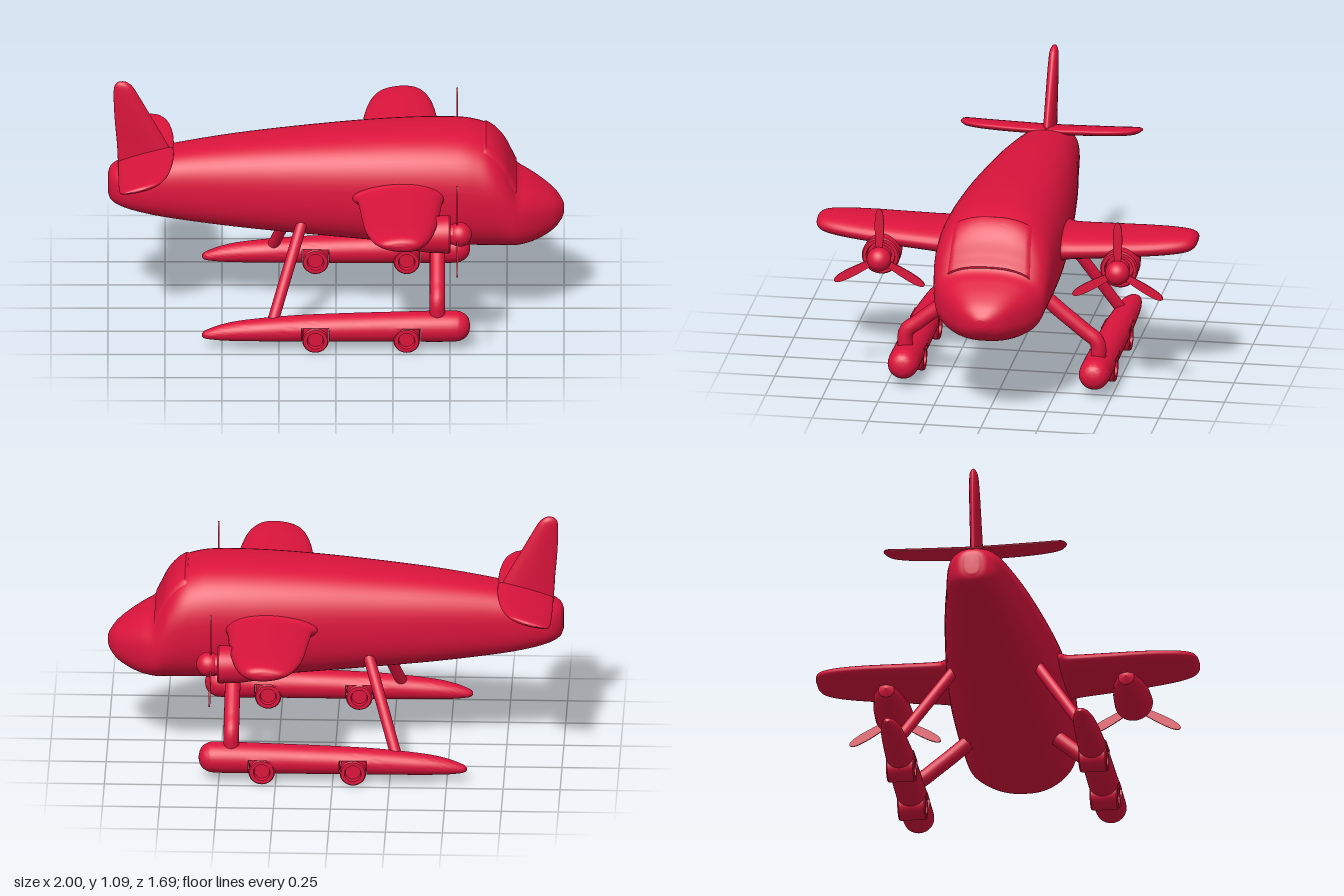
import * as THREE from 'three';
import { toCreasedNormals } from 'three/addons/utils/BufferGeometryUtils.js';

const red = new THREE.MeshStandardMaterial({ color: 0xdc143c });
const TAU = Math.PI * 2;

function part(parent, name, geo, crease = 0) {
  const mesh = new THREE.Mesh(crease ? toCreasedNormals(geo, crease) : geo, red);
  mesh.name = name;
  parent.add(mesh);
  return mesh;
}

// Skin closed rings of points and cap both ends; always wound outwards.
function loft(rings) {
  const n = rings[0].length, pos = [], idx = [];
  rings.forEach(r => r.forEach(p => pos.push(p.x, p.y, p.z)));
  for (let i = 0; i < rings.length - 1; i++) for (let j = 0; j < n; j++) {
    const a = i * n + j, b = i * n + (j + 1) % n;
    idx.push(a, b, a + n, b, b + n, a + n);
  }
  [0, rings.length - 1].forEach((r, end) => {
    const c = pos.length / 3, m = new THREE.Vector3();
    rings[r].forEach(p => m.addScaledVector(p, 1 / n));
    pos.push(m.x, m.y, m.z);
    for (let j = 0; j < n; j++) {
      const a = r * n + j, b = r * n + (j + 1) % n;
      if (end) idx.push(a, b, c); else idx.push(b, a, c);
    }
  });
  let volume = 0;
  const v = k => new THREE.Vector3().fromArray(pos, idx[k] * 3);
  for (let k = 0; k < idx.length; k += 3) volume += v(k).dot(v(k + 1).cross(v(k + 2)));
  if (volume < 0) idx.reverse();
  const g = new THREE.BufferGeometry();
  g.setAttribute('position', new THREE.Float32BufferAttribute(pos, 3));
  g.setIndex(idx);
  g.computeVertexNormals();
  return g;
}

// Smooth interpolation through rows of numbers.
function spline(rows) {
  const curves = rows[0].map((_, c) =>
    new THREE.CatmullRomCurve3(rows.map((r, i) => new THREE.Vector3(i, r[c], 0)), false, 'catmullrom', 0.5));
  return t => curves.map(c => c.getPoint(t).y);
}

const spow = (v, e) => Math.sign(v) * Math.abs(v) ** e;
const ringOf = (n, fn) => Array.from({ length: n }, (_, j) => fn(j / n * TAU));
const sample = (n, fn) => Array.from({ length: n + 1 }, (_, i) => fn(i / n));

// Fuselage stations: x, bottom, top, half width
const hull = spline([
  [-1, .56, .65, .03], [-.985, .53, .68, .07], [-.94, .505, .705, .105], [-.85, .478, .738, .128],
  [-.7, .45, .775, .15], [-.4, .415, .82, .195], [0, .38, .86, .24], [.3, .355, .88, .262],
  [.52, .347, .882, .267], [.62, .344, .868, .265], [.68, .344, .84, .262], [.73, .345, .785, .255],
  [.765, .346, .715, .247], [.795, .348, .66, .235], [.85, .355, .63, .2], [.91, .375, .595, .15],
  [.96, .405, .557, .1], [.99, .44, .52, .05], [1, .465, .5, .02]]);
const EXP = 2.5;

function fuselage(g) {
  part(g, 'fuselage', loft(sample(110, t => {
    const [x, b, h, w] = hull(t);
    return ringOf(56, a => new THREE.Vector3(x, (b + h) / 2 + (h - b) / 2 * spow(Math.sin(a), 2 / EXP),
      w * spow(Math.cos(a), 2 / EXP)));
  })));

  // Windshield panel standing slightly proud of the skin, its rim tucked under
  const N = 24, pos = [], idx = [];
  for (let i = 0; i <= N; i++) for (let j = 0; j <= N; j++) {
    const [x, b, h, w] = hull((9.35 + 3.55 * i / N) / 18);
    const z = (j / N * 2 - 1) * (.175 + .015 * i / N);
    const rim = i === 0 || j === 0 || i === N || j === N;
    const lift = rim ? -.004 : .007;
    const y = (b + h) / 2 + (h - b) / 2 * (1 - Math.abs(z / w) ** EXP) ** (1 / EXP);
    pos.push(x + lift * .8, y + lift * .7, z);
    const a = i * (N + 1) + j;
    if (i < N && j < N) idx.push(a, a + 1, a + N + 1, a + 1, a + N + 2, a + N + 1);
  }
  const geo = new THREE.BufferGeometry();
  geo.setAttribute('position', new THREE.Float32BufferAttribute(pos, 3));
  geo.setIndex(idx);
  geo.computeVertexNormals();
  part(g, 'windshield', geo, 0.6);
}

// Aerofoil surface along a span; rows: span, trailing x, leading x, height, half thickness
function foil(rows, place, tilt = 0) {
  const f = spline(rows);
  return loft(sample(48, t => {
    const [s, x0, x1, c, th] = f(t);
    return ringOf(36, a => {
      const k = Math.cos(a), r = (x1 - x0) / 2;
      return place((x0 + x1) / 2 + r * k, c + tilt * r * k + th * Math.sin(a) * (.85 + .15 * k), s);
    });
  }));
}

function tail(g) {
  const rows = [[0, -.955, -.71, .735, .025], [.15, -.955, -.715, .737, .025], [.28, -.953, -.735, .738, .024],
    [.36, -.948, -.77, .738, .021], [.39, -.935, -.81, .738, .014], [.402, -.9, -.85, .738, .003]];
  for (const s of [1, -1])
    part(g, s > 0 ? 'leftTailplane' : 'rightTailplane',
      foil(rows, (x, y, z) => new THREE.Vector3(x, y, z * s), .26));
  part(g, 'fin', foil([[.66, -.955, -.68, 0, .03], [.78, -.96, -.735, 0, .029], [.9, -.97, -.80, 0, .028],
    [1.0, -.975, -.855, 0, .026], [1.06, -.973, -.89, 0, .022], [1.082, -.96, -.915, 0, .013],
    [1.088, -.945, -.93, 0, .003]], (x, z, y) => new THREE.Vector3(x, y, z)));
}

// Engine with cowl, spinner and three-bladed propeller, axis along x
function engine(s) {
  const g = new THREE.Group();
  g.name = s > 0 ? 'leftEngine' : 'rightEngine';
  g.position.set(0, .59, .53 * s);
  const turned = (name, pts) => {
    const geo = new THREE.LatheGeometry(pts.map(p => new THREE.Vector2(p[1], p[0])), 36);
    part(g, name, geo.rotateZ(-Math.PI / 2), 0.6);
  };
  turned('cowl', [[.2, 0], [.22, .035], [.3, .065], [.4, .08], [.495, .084], [.503, .078], [.503, .064], [.48, .06], [.48, 0]]);
  turned('gearbox', [[.47, 0], [.47, .045], [.525, .045], [.525, 0]]);
  const spinner = part(g, 'spinner', new THREE.SphereGeometry(.054, 28, 18));
  spinner.position.x = .542;
  const blade = new THREE.Shape();
  blade.moveTo(-.012, .02);
  blade.bezierCurveTo(-.02, .1, -.03, .23, 0, .232);
  blade.bezierCurveTo(.03, .23, .02, .1, .012, .02);
  for (let i = 0; i < 3; i++) {
    const geo = new THREE.ExtrudeGeometry(blade, { depth: .007, bevelEnabled: false, curveSegments: 16 });
    geo.translate(0, 0, -.0035).rotateY(Math.PI / 2).rotateX(i * TAU / 3);
    part(g, 'propellerBlade', geo).position.x = .532;
  }
  return g;
}

// Float with two wheel wells cut through its underside
function float(s) {
  const g = new THREE.Group();
  g.name = s > 0 ? 'leftFloat' : 'rightFloat';
  g.position.z = .425 * s;
  const wheels = [-.09, .31];
  const body = spline([[-.588, .055, .068, .008], [-.57, .045, .082, .022], [-.5, .038, .108, .038],
    [-.4, .036, .128, .05], [-.2, .035, .148, .06], [0, .035, .158, .065], [.25, .035, .166, .067],
    [.5, .035, .172, .069], [.555, .045, .163, .06], [.58, .068, .14, .038], [.588, .095, .11, .008]]);
  const at = x => {
    let lo = 0, hi = 1;
    for (let i = 0; i < 30; i++) { const m = (lo + hi) / 2; if (body(m)[0] < x) lo = m; else hi = m; }
    return lo;
  };
  const stations = sample(60, t => ({ t, cut: wheels.some(w => Math.abs(body(t)[0] - w) < .06) }));
  for (const w of wheels) for (const e of [-.06, .06])
    for (const cut of [false, true]) stations.push({ t: at(w + e), cut, order: cut === (e < 0) ? 1 : 0 });
  stations.sort((a, b) => a.t - b.t || a.order - b.order);
  part(g, 'floatBody', loft(stations.map(({ t, cut }) => {
    const [x, b, h, w] = body(t);
    return ringOf(36, a => {
      const y = (b + h) / 2 + (h - b) / 2 * Math.sin(a);
      return new THREE.Vector3(x, cut ? Math.max(y, .118) : y, w * Math.cos(a));
    });
  })), 0.7);
  // Wheels with a recessed hub on each face
  const profile = [[0, -.045], [.033, -.045], [.037, -.062], [.053, -.062], [.058, -.056],
    [.058, .056], [.053, .062], [.037, .062], [.033, .045], [0, .045]].map(p => new THREE.Vector2(...p));
  for (const x of wheels) {
    const wheel = part(g, 'wheel', new THREE.LatheGeometry(profile, 32).rotateX(Math.PI / 2), 0.6);
    wheel.position.set(x, .058, 0);
  }
  return g;
}

export function createModel() {
  const g = new THREE.Group();
  g.name = 'seaplane';
  fuselage(g);
  tail(g);
  // Wing, flaring into the fuselage at its root
  const wing = [[.1, .04, .5, .635, .095], [.24, .07, .482, .637, .085], [.29, .095, .468, .64, .07],
    [.45, .11, .455, .648, .064], [.62, .125, .438, .657, .058], [.74, .15, .415, .664, .053],
    [.81, .18, .385, .668, .044], [.838, .215, .35, .67, .026], [.846, .26, .3, .67, .004]];
  for (const s of [1, -1]) {
    const side = s > 0 ? 'left' : 'right';
    part(g, side + 'Wing', foil(wing, (x, y, z) => new THREE.Vector3(x, y, z * s)));
    g.add(engine(s), float(s));
    // Float struts: a bent front leg and a slanted rear leg
    const leg = (name, pts, r) => part(g, side + name, new THREE.TubeGeometry(
      new THREE.CatmullRomCurve3(pts.map(p => new THREE.Vector3(p[0], p[1], p[2] * s))), 28, r, 20));
    leg('FrontStrut', [[.445, .45, .16], [.445, .36, .265], [.445, .275, .37], [.445, .225, .425], [.445, .1, .425]], .034);
    leg('RearStrut', [[-.15, .49, .185], [-.215, .3, .3], [-.28, .11, .415]], .025);
  }
  return g;
}
